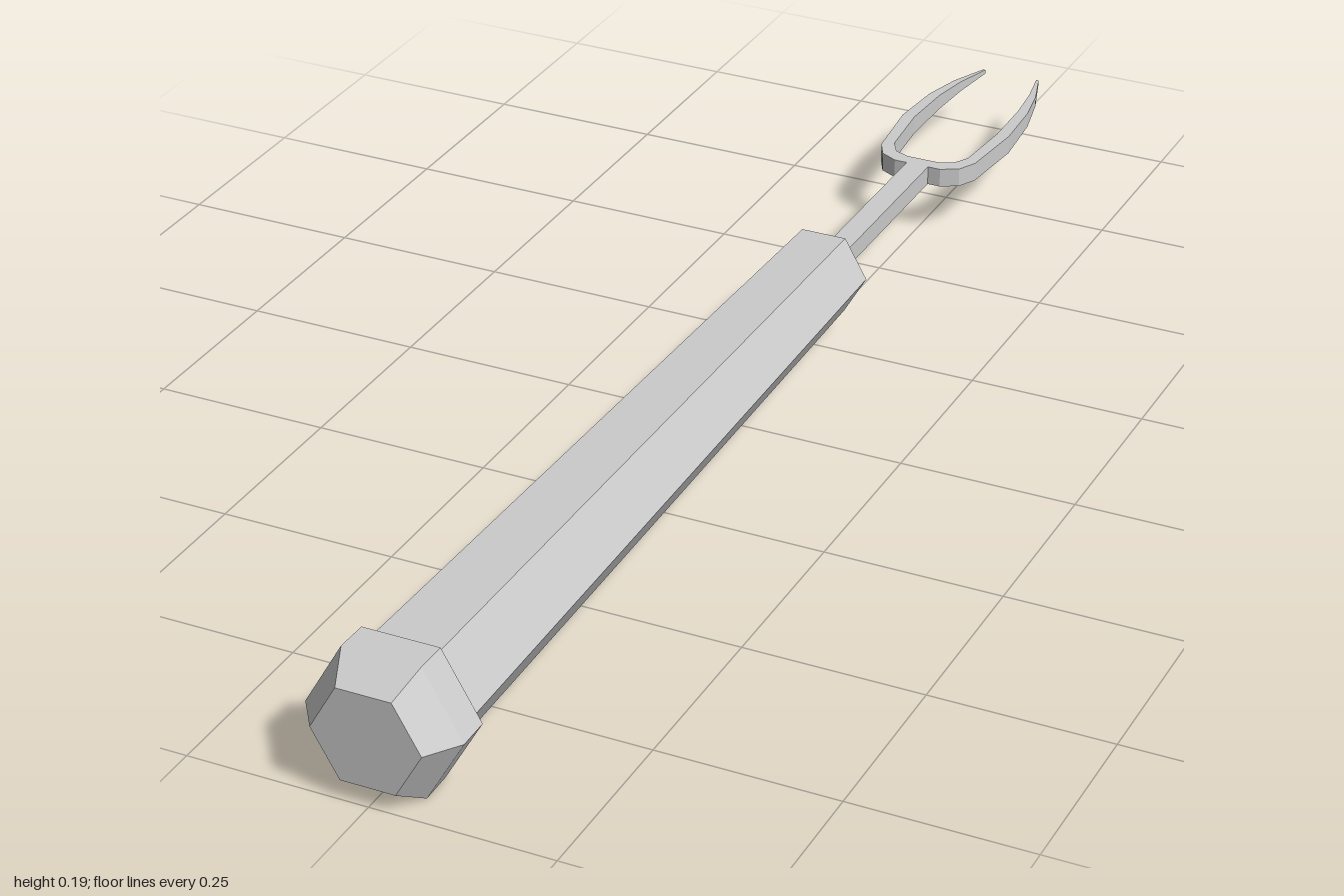
import * as THREE from 'three';

const AXIS_Y = 0.0925; // height of the long axis

export function createModel() {
  const model = new THREE.Group();
  const material = new THREE.MeshStandardMaterial({ color: 0xcccccc, flatShading: true });

  function add(name, geometry) {
    const mesh = new THREE.Mesh(geometry, material);
    mesh.name = name;
    mesh.position.y = AXIS_Y;
    model.add(mesh);
  }

  // Six-sided solid around the z axis; profile is [radius, z] with z rising
  function hexTurned(profile) {
    const points = profile.map(([r, z]) => new THREE.Vector2(r, z));
    return new THREE.LatheGeometry(points, 6, Math.PI / 2).rotateX(Math.PI / 2);
  }

  // Tapering grip with a chamfered front end
  add('handle', hexTurned([[0, -0.32], [0.042, -0.32], [0.066, -0.3], [0.089, 0.9], [0, 0.9]]));

  // Chamfered pommel
  add('pommel', hexTurned([
    [0, 0.895], [0.093, 0.895], [0.106, 0.908], [0.107, 0.955], [0.075, 1], [0, 1],
  ]));

  // Thin square shaft
  add('shaft', new THREE.BoxGeometry(0.034, 0.028, 0.345).translate(0, 0, -0.4725));

  // Fork sections of one side, centre to tip: inner x, inner z, outer x, outer z, half height
  const side = [
    [0.024, -0.655, 0.036, -0.635, 0.014],
    [0.046, -0.664, 0.061, -0.648, 0.014],
    [0.059, -0.687, 0.075, -0.675, 0.014],
    [0.067, -0.78, 0.086, -0.78, 0.014],
    [0.064, -0.87, 0.08, -0.87, 0.0115],
    [0.056, -0.935, 0.067, -0.935, 0.008],
    [0.042, -1, 0.046, -1, 0.003],
  ];
  const mirrored = side.map(([ix, iz, ox, oz, h]) => [-ix, iz, -ox, oz, h]).reverse();
  const sections = [...mirrored, ...side];

  // Loft the four-cornered sections from one tip round to the other
  const positions = [];
  const index = [];
  sections.forEach(([ix, iz, ox, oz, h], i) => {
    positions.push(ix, h, iz, ox, h, oz, ox, -h, oz, ix, -h, iz);
    if (i === 0) return;
    for (let k = 0; k < 4; k++) {
      const a = (i - 1) * 4 + k;
      const b = (i - 1) * 4 + ((k + 1) % 4);
      index.push(a, b, b + 4, a, b + 4, a + 4);
    }
  });
  const last = (sections.length - 1) * 4;
  index.push(0, 3, 2, 0, 2, 1, last, last + 1, last + 2, last, last + 2, last + 3);
  const fork = new THREE.BufferGeometry();
  fork.setAttribute('position', new THREE.Float32BufferAttribute(positions, 3));
  fork.setIndex(index);
  fork.computeVertexNormals();
  add('forkProngs', fork);

  return model;
}
